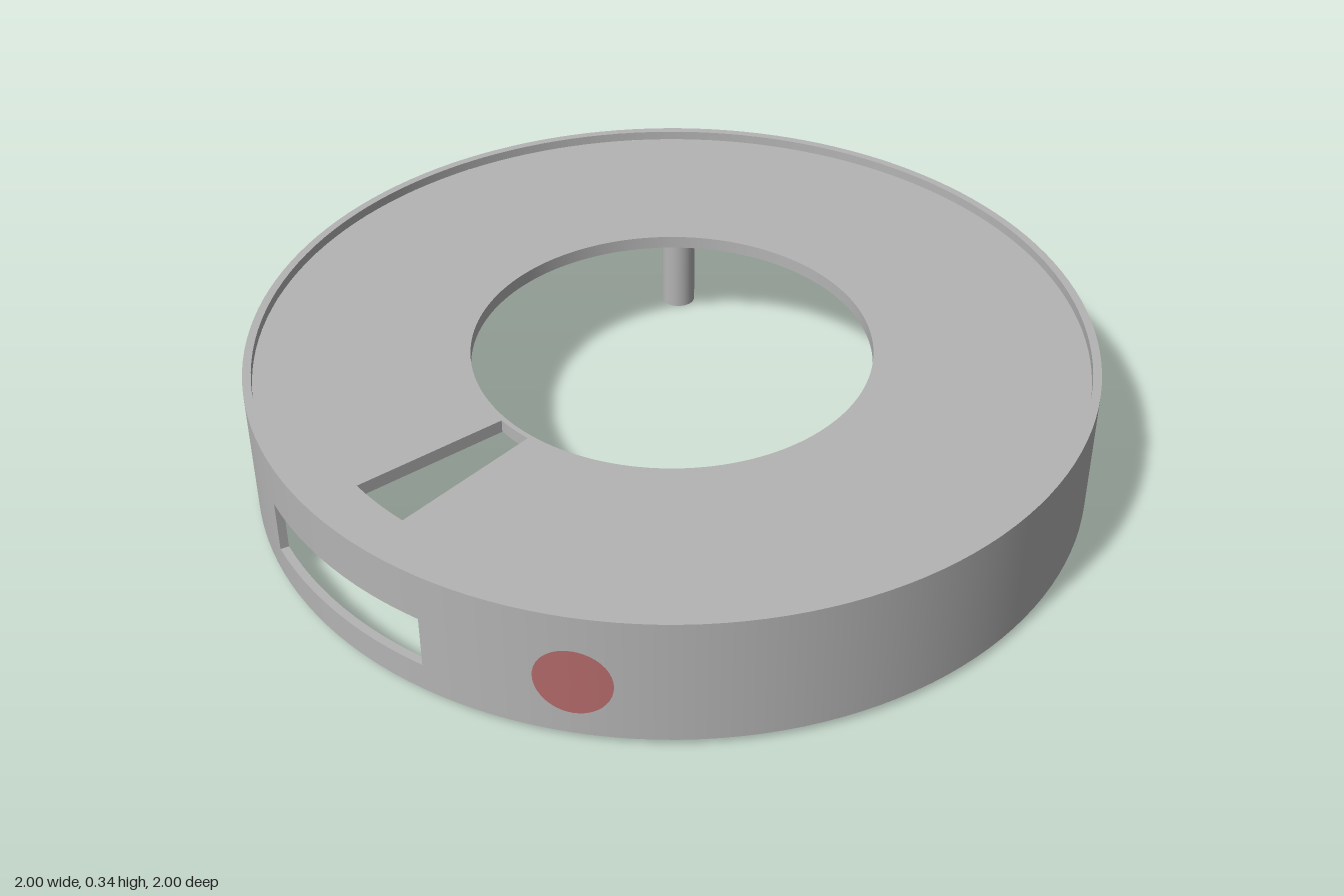
import * as THREE from 'three';
import { mergeGeometries } from 'three/addons/utils/BufferGeometryUtils.js';

const TAU = Math.PI * 2;

// Surface of revolution over an angle range (0 = front, + = model's left).
// Each profile edge is its own strip, so edges stay sharp and curves smooth.
function revolve(points, from = 0, to = TAU, perTurn = 144) {
  const steps = Math.max(4, Math.round(((to - from) / TAU) * perTurn));
  const strips = [];
  for (let i = 0; i < points.length - 1; i++) {
    const edge = [points[i], points[i + 1]].map(([r, y]) => new THREE.Vector2(r, y));
    strips.push(new THREE.LatheGeometry(edge, steps, from, to - from));
  }
  return mergeGeometries(strips);
}

// The two flat side faces of an opening that spans -angle to +angle
function jambs(r0, r1, y0, y1, angle) {
  return [-1, 1].map((side) => {
    const a = side * angle, r = (r0 + r1) / 2;
    return new THREE.PlaneGeometry(r1 - r0, y1 - y0)
      .rotateY(a - side * Math.PI / 2)
      .translate(r * Math.sin(a), (y0 + y1) / 2, r * Math.cos(a));
  });
}

// Round patch bent onto a cylinder; facing = 1 outward, -1 inward
function bentDisc(radius, wallRadius, angle, y, facing) {
  const geo = new THREE.RingGeometry(0.0001, radius, 40, 8);
  const p = geo.attributes.position;
  for (let i = 0; i < p.count; i++) {
    const a = angle + facing * p.getX(i);
    p.setXYZ(i, wallRadius * Math.sin(a), y + p.getY(i), wallRadius * Math.cos(a));
  }
  geo.computeVertexNormals();
  return geo;
}

export function createModel() {
  const group = new THREE.Group();
  const grey = new THREE.MeshStandardMaterial({ color: 0xb4b4b4 });
  grey.name = 'grey plastic';
  const red = new THREE.MeshStandardMaterial({ color: 0xb46a6a });
  red.name = 'muted red';

  const add = (name, geo, mat) => {
    const mesh = new THREE.Mesh(geo, mat);
    mesh.name = name;
    group.add(mesh);
    return mesh;
  };

  const R = 1, RI = 0.98;                        // wall radii
  const bottom = 0.015, top = 0.335;             // wall heights
  const plateLow = 0.28, plateTop = 0.312;       // recessed plate
  const winLow = 0.085, winTop = 0.215, winA = 0.26;

  // Outer wall with a window at the front
  add('outerWall', mergeGeometries([
    revolve([[RI, plateLow], [RI, bottom], [R, bottom], [R, top], [RI, top], [RI, plateTop]], winA, TAU - winA),
    revolve([[RI, winLow], [RI, bottom], [R, bottom], [R, winLow], [RI, winLow]], -winA, winA),
    revolve([[RI, plateLow], [RI, winTop], [R, winTop], [R, top], [RI, top], [RI, plateTop]], -winA, winA),
    ...jambs(RI, R, winLow, winTop, winA),
  ]), grey);

  // Ring plate with a tapered slot at the front
  const hole = 0.475, slotIn = 0.487, slotOut = 0.865, slotA = 0.093;
  add('ringPlate', mergeGeometries([
    revolve([[RI, plateTop], [hole, plateTop], [hole, plateLow], [RI, plateLow]], slotA, TAU - slotA),
    revolve([[slotIn, plateTop], [hole, plateTop], [hole, plateLow], [slotIn, plateLow], [slotIn, plateTop]], -slotA, slotA),
    revolve([[RI, plateTop], [slotOut, plateTop], [slotOut, plateLow], [RI, plateLow]], -slotA, slotA),
    ...jambs(slotIn, slotOut, plateLow, plateTop, slotA),
  ]), grey);

  // Four posts below the plate, each with a blind screw hole
  const postGeo = revolve([[0, 0.1], [0.014, 0.1], [0.014, 0], [0.043, 0], [0.043, plateLow]], 0, TAU, 32);
  for (const x of [-0.472, 0.472]) {
    for (const z of [-0.472, 0.472]) {
      add('post', postGeo, grey).position.set(x, 0, z);
    }
  }

  // Round red spot on both faces of the wall
  const spotA = 0.608, spotY = 0.16;
  add('spotOutside', bentDisc(0.086, R + 0.002, spotA, spotY, 1), red);
  add('spotInside', bentDisc(0.086, RI - 0.002, spotA, spotY, -1), red);

  return group;
}
